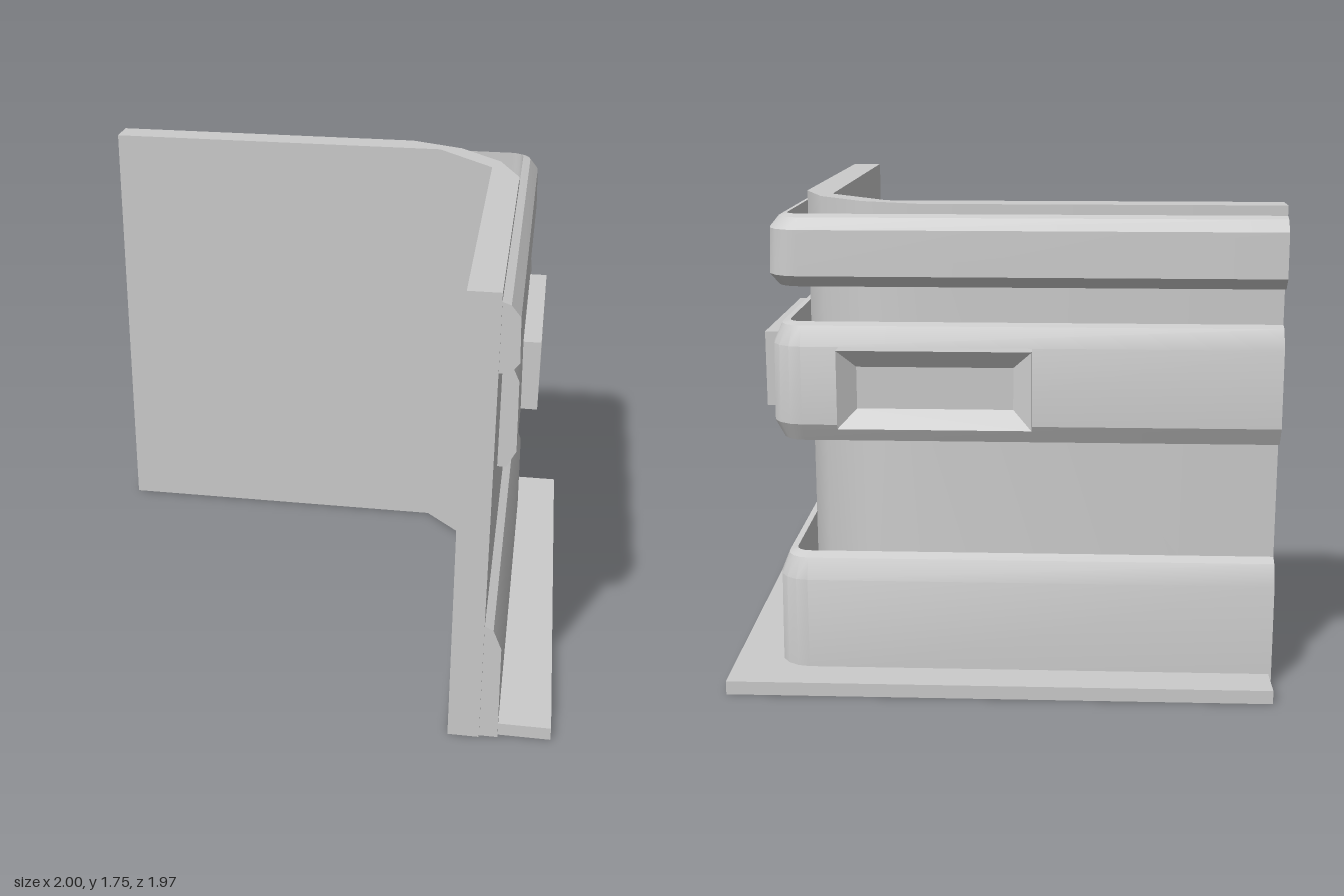
import * as THREE from 'three';
import { toCreasedNormals } from 'three/addons/utils/BufferGeometryUtils.js';

const material = new THREE.MeshStandardMaterial({ color: 0xcccccc });

function part(name, geometry, crease) {
  const mesh = new THREE.Mesh(toCreasedNormals(geometry, crease), material);
  mesh.name = name;
  return mesh;
}

// Upright prism from a floor plan of [x, z] corners
function prism(plan, height) {
  const shape = new THREE.Shape(plan.map(([x, z]) => new THREE.Vector2(x, -z)));
  return new THREE.ExtrudeGeometry(shape, { depth: height, bevelEnabled: false }).rotateX(-Math.PI / 2);
}

// Closed solid through equal-length rings of [x, y, z], with fan caps
function loft(rings) {
  const n = rings[0].length;
  const last = (rings.length - 1) * n;
  const index = [];
  for (let i = 0; i < rings.length - 1; i++) {
    for (let j = 0; j < n; j++) {
      const a = i * n + j, b = i * n + (j + 1) % n;
      index.push(a, b, a + n, b, b + n, a + n);
    }
  }
  for (let j = 1; j < n - 1; j++) {
    index.push(0, j + 1, j, last, last + j, last + j + 1);
  }
  const g = new THREE.BufferGeometry();
  g.setAttribute('position', new THREE.Float32BufferAttribute(rings.flat(2), 3));
  g.setIndex(index);
  return g;
}

// Band along the back, round the corner and down the side; profile is [offset, y]
function band(profile, frontZ) {
  const cx = 0.69, cz = -0.72, r = 0.05, steps = 4;
  const stations = [[-1, cz, 0]];
  for (let i = 0; i <= steps; i++) stations.push([cx, cz, (i / steps) * Math.PI / 2]);
  stations.push([cx, frontZ, Math.PI / 2]);
  return loft(stations.map(([x, z, a]) => profile.map(([d, y]) =>
    [x + Math.sin(a) * (r + d), y, z - Math.cos(a) * (r + d)])));
}

// Block with a sloped recess in its outer face
function panel(halfWidth) {
  const hh = 0.14, inset = 0.065, depth = 0.07;
  const ring = (w, h, z) => [[-w, -h, z], [w, -h, z], [w, h, z], [-w, h, z]];
  return loft([
    ring(halfWidth, hh, 0),
    ring(halfWidth, hh, depth),
    ring(halfWidth - inset, hh - inset, depth - 0.045),
  ]);
}

export function createModel() {
  const group = new THREE.Group();
  group.name = 'cornerWall';

  // Main wall, with a chamfered corner inside and a rounder one outside
  group.add(part('wall', prism([
    [-1, -0.65], [0.395, -0.65], [0.625, -0.42], [0.625, 0.98], [0.74, 0.98],
    [0.74, -0.3], [0.655, -0.51], [0.485, -0.68], [0.27, -0.768], [-1, -0.768],
  ], 1.745), 0.6));

  // Floor plate
  group.add(part('basePlate', prism([
    [-0.99, -0.985], [0.97, -0.985], [1, 0.955], [0.71, 0.955], [0.71, -0.655], [-0.99, -0.655],
  ], 0.05), 0.3));

  // Three bands wrapping the outside
  const bands = [
    ['topBand', [[0, 1.46], [0.035, 1.46], [0.068, 1.5], [0.063, 1.66], [0.03, 1.7], [0, 1.71]], 0.97],
    ['middleBand', [[0, 0.905], [0.033, 0.905], [0.067, 0.97], [0.062, 1.25], [0.03, 1.32], [0, 1.33]], 0.56],
    ['skirtBand', [[0, 0], [0.068, 0], [0.063, 0.385], [0.032, 0.46], [0, 0.477]], 0.97],
  ];
  for (const [name, profile, frontZ] of bands) group.add(part(name, band(profile, frontZ), 0.42));

  // Recessed panels on the middle band
  const sidePanel = part('sidePanel', panel(0.37), 0.3);
  sidePanel.position.set(0.8, 1.11, -0.18);
  sidePanel.rotation.y = Math.PI / 2;
  const backPanel = part('backPanel', panel(0.34), 0.3);
  backPanel.position.set(0.215, 1.11, -0.828);
  backPanel.rotation.y = Math.PI;
  group.add(sidePanel, backPanel);

  return group;
}
